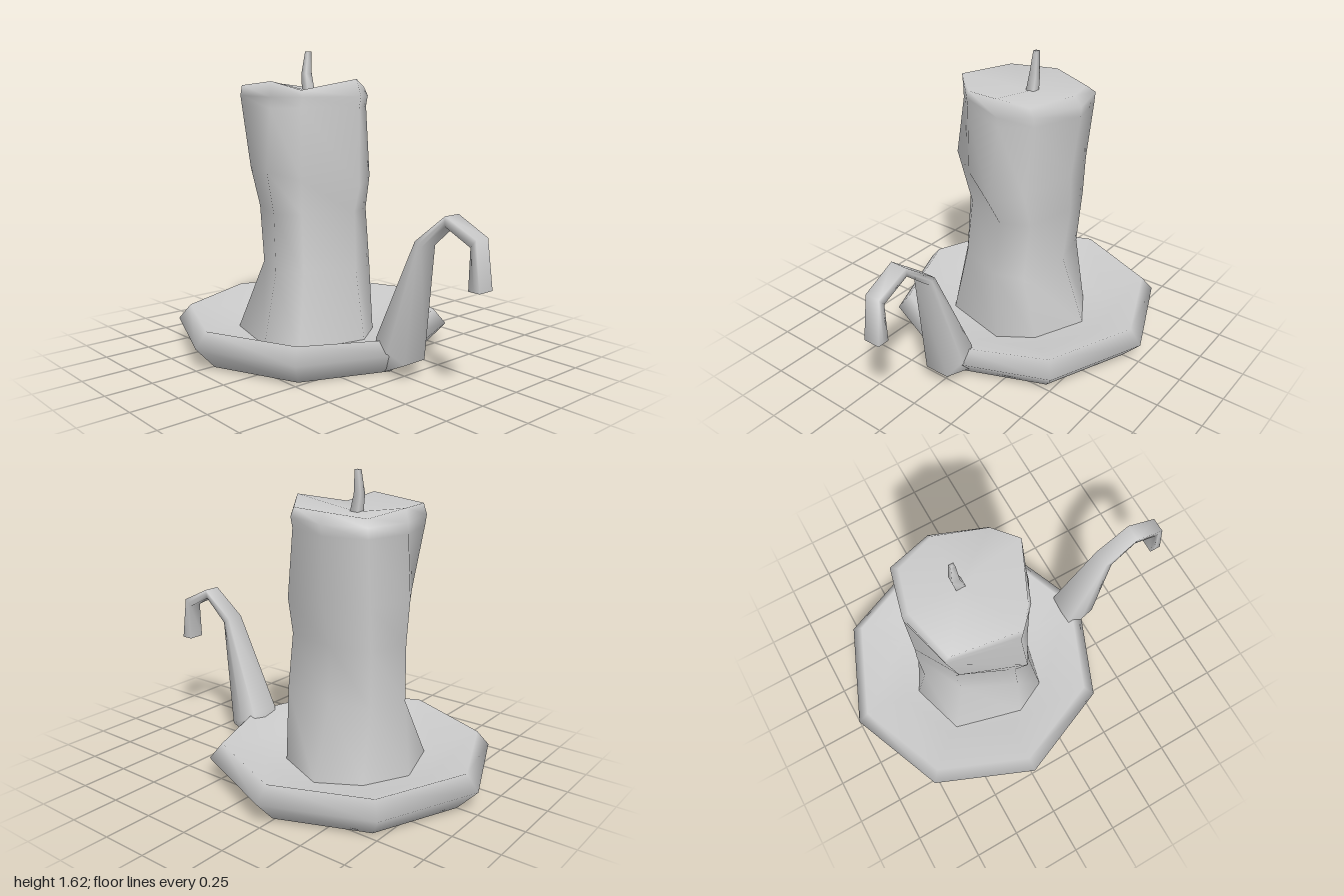
import * as THREE from 'three';

// Skin a stack of closed rings (arrays of [x, y, z]); optional centre points close the ends
function loft(rings, start, end) {
  const n = rings[0].length, index = [];
  const pos = rings.flat(2);
  for (let i = 0; i < rings.length - 1; i++) {
    for (let j = 0; j < n; j++) {
      const a = i * n + j, b = i * n + (j + 1) % n;
      index.push(a, b, a + n, b, b + n, a + n);
    }
  }
  if (start) {
    const c = pos.length / 3;
    pos.push(...start);
    for (let j = 0; j < n; j++) index.push(c, (j + 1) % n, j);
  }
  if (end) {
    const c = pos.length / 3, o = (rings.length - 1) * n;
    pos.push(...end);
    for (let j = 0; j < n; j++) index.push(c, o + j, o + (j + 1) % n);
  }
  const g = new THREE.BufferGeometry();
  g.setAttribute('position', new THREE.Float32BufferAttribute(pos, 3));
  g.setIndex(index);
  g.computeVertexNormals();
  return g;
}

// Eight-cornered wax ring from its extents; heights run round from the front,
// bulge pushes the four diagonal corners in or out, slides skew the other four
const slideX = [0.08, 0, 0, 0, 0.02, 0, 0, 0];
const slideZ = [0, 0, -0.04, 0, 0, 0, 0.1, 0];
function waxRing(heights, x0, x1, z0, z1, bulge) {
  return heights.map((y, i) => {
    const a = i * Math.PI / 4, s = Math.sin(a), c = Math.cos(a);
    const out = i % 2 ? bulge[(i - 1) / 2] : 0;
    return [
      (x0 + x1) / 2 + s * ((x1 - x0) / 2 + out) + slideX[i],
      y,
      (z0 + z1) / 2 + c * ((z1 - z0) / 2 + out) + slideZ[i],
    ];
  });
}

export function createModel() {
  const group = new THREE.Group();
  const material = new THREE.MeshStandardMaterial({ color: 0xcccccc });
  const add = (name, geometry) => {
    const mesh = new THREE.Mesh(geometry, material);
    mesh.name = name;
    group.add(mesh);
    return mesh;
  };

  // Octagonal dish, its rim dipping slightly where the handle joins
  const profile = [[0, 0], [0.645, 0], [0.757, 0.12], [0.69, 0.2], [0.46, 0.09], [0, 0.08]]
    .map(([r, y]) => new THREE.Vector2(r, y));
  const dishGeometry = new THREE.LatheGeometry(profile, 8);
  const p = dishGeometry.attributes.position;
  for (let i = 0; i < p.count; i++) {
    if (p.getZ(i) > 0.6 && p.getY(i) > 0.15) p.setY(i, 0.18);
  }
  add('dish', dishGeometry).position.z = -0.24;

  // Candle body with a flared foot, sagging wax and an uneven rim
  const level = (y) => Array(8).fill(y);
  add('candle', loft([
    waxRing(level(0.08), -0.405, 0.365, -0.605, 0.14, [-0.02, -0.02, 0.02, 0.03]),
    waxRing(level(0.47), -0.335, 0.225, -0.545, 0.11, [0.05, 0.04, -0.07, -0.01]),
    waxRing(level(0.78), -0.33, 0.25, -0.55, 0.08, [0.03, 0.04, -0.05, -0.02]),
    waxRing([0.92, 0.96, 1, 1, 1, 1, 1.01, 0.96], -0.395, 0.265, -0.55, 0.145, [0.01, 0.05, -0.04, -0.08]),
    waxRing(level(1.33), -0.357, 0.295, -0.55, 0.105, [-0.01, 0.05, 0.03, -0.03]),
    waxRing(level(1.385), -0.355, 0.3, -0.55, 0.115, [-0.01, 0.05, 0.04, -0.03]),
    waxRing([1.475, 1.43, 1.44, 1.42, 1.45, 1.44, 1.465, 1.42], -0.355, 0.262, -0.52, 0.1, [0, 0.04, 0.04, -0.04]),
  ], null, [0, 1.41, -0.25]));

  // Bent four-sided wick: centre x, y, z and half width
  const wick = [[0, 1.4, -0.25, 0.025], [0.002, 1.5, -0.268, 0.02], [0.012, 1.62, -0.265, 0.012]];
  add('wick', loft(
    wick.map(([x, y, z, w]) => [[x + w, y, z + w], [x + w, y, z - w], [x - w, y, z - w], [x - w, y, z + w]]),
    null, wick[2].slice(0, 3)));

  // Hooked handle: upper z, y, lower z, y, then half widths on top, middle and underside
  const handle = [
    [0.38, 0.1, 0.4, 0.005, 0.08, 0.1, 0.03],
    [0.385, 0.19, 0.57, 0.09, 0.09, 0.1, 0.07],
    [0.605, 0.715, 0.645, 0.69, 0.05, 0.05, 0.05],
    [0.79, 0.86, 0.785, 0.81, 0.048, 0.046, 0.042],
    [0.97, 0.775, 0.935, 0.735, 0.042, 0.04, 0.038],
    [1.0, 0.535, 0.935, 0.535, 0.046, 0.046, 0.046],
  ];
  add('handle', loft(handle.map(([uz, uy, lz, ly, wu, wm, wl]) => {
    const my = (uy + ly) / 2, mz = (uz + lz) / 2;
    return [[wl, ly, lz], [wm, my, mz], [wu, uy, uz], [-wu, uy, uz], [-wm, my, mz], [-wl, ly, lz]];
  }), [0, 0.05, 0.38], [0, 0.535, 0.967]));

  return group;
}
